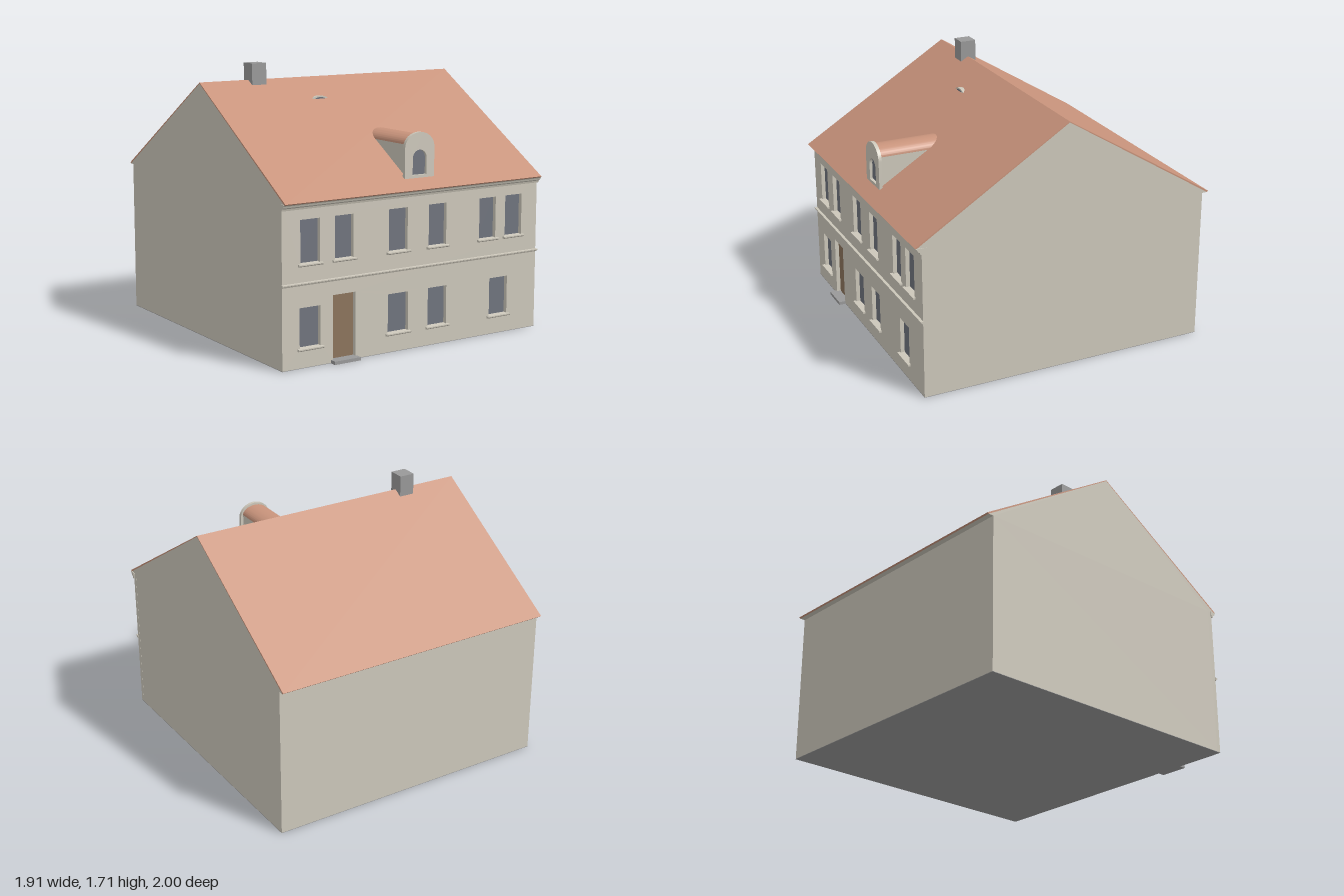
import * as THREE from 'three';
import { toCreasedNormals } from 'three/addons/utils/BufferGeometryUtils.js';

const material = (name, color) => {
  const m = new THREE.MeshStandardMaterial({ color });
  m.name = name;
  return m;
};

export function createModel() {
  const cream = material('cream plaster', 0xcdc8bb);
  const tile = material('roof tile', 0xc8937b);
  const glass = material('window glass', 0x70747e);
  const wood = material('door wood', 0x8c745c);
  const stone = material('grey stone', 0x999999);

  const house = new THREE.Group();
  house.name = 'house';
  const add = (name, geometry, mat) => {
    const mesh = new THREE.Mesh(geometry, mat);
    mesh.name = name;
    house.add(mesh);
    return mesh;
  };
  const box = (name, mat, x0, x1, y0, y1, z0, z1) =>
    add(name, new THREE.BoxGeometry(x1 - x0, y1 - y0, z1 - z0)
      .translate((x0 + x1) / 2, (y0 + y1) / 2, (z0 + z1) / 2), mat);

  // Solid with a [z, y] profile, running from x0 to x1
  const prism = (profile, x0, x1) => {
    const shape = new THREE.Shape(profile.map(p => new THREE.Vector2(...p)));
    return new THREE.ExtrudeGeometry(shape, { depth: x1 - x0, bevelEnabled: false })
      .rotateY(-Math.PI / 2).translate(x1, 0, 0);
  };
  // The left gable wall stands slightly askew
  const skewGable = geometry => {
    const p = geometry.attributes.position;
    for (let i = 0; i < p.count; i++) {
      if (p.getX(i) > 0) p.setX(i, 0.938 + 0.012 * p.getZ(i));
    }
    geometry.computeVertexNormals();
    return geometry;
  };
  // Upright outline with an elliptical arch on top
  const arch = (Type, cx, halfWidth, y0, spring, top) => {
    const s = new Type();
    s.moveTo(cx - halfWidth, y0);
    s.lineTo(cx + halfWidth, y0);
    if (spring > y0) s.lineTo(cx + halfWidth, spring);
    s.absellipse(cx, spring, halfWidth, top - spring, 0, Math.PI, false, 0);
    s.closePath();
    return s;
  };
  const extrudeZ = (shape, z0, z1) => toCreasedNormals(
    new THREE.ExtrudeGeometry(shape, { depth: z1 - z0, bevelEnabled: false, curveSegments: 18 })
      .translate(0, 0, z0), 0.6);

  const L = -0.955, R = 0.95, FRONT = 0.955, RECESS = 0.925;

  // Body with gables and eaves
  add('body', skewGable(prism([
    [-0.955, 0.003], [RECESS, 0.003], [RECESS, 0.978], [0.99, 0.978],
    [0, 1.594], [-0.99, 0.978], [-0.955, 0.978],
  ], L, R)), cream);
  add('roof', skewGable(prism([
    [-0.998, 0.985], [-0.99, 0.978], [0, 1.593], [0.99, 0.978], [0.998, 0.985], [0, 1.6],
  ], L, R)), tile);
  add('groundSlab', skewGable(prism([
    [-0.955, 0], [FRONT, 0], [FRONT, 0.003], [-0.955, 0.003],
  ], L, R)), stone);

  // Openings: [x0, x1, y0, y1]
  const upper = [[-0.83, -0.697], [-0.593, -0.46], [-0.205, -0.067],
    [0.092, 0.226], [0.485, 0.615], [0.692, 0.826]].map(w => [...w, 0.618, 0.88]);
  const lower = [[-0.836, -0.692], [-0.21, -0.06], [0.09, 0.232],
    [0.574, 0.718]].map(w => [...w, 0.118, 0.362]);
  const door = [-0.605, -0.446, 0.015, 0.41];

  // Front wall with deep openings
  const wall = new THREE.Shape([[L, 0.003], [R, 0.003], [R, 0.978], [L, 0.978]]
    .map(p => new THREE.Vector2(...p)));
  for (const [x0, x1, y0, y1] of [...upper, ...lower, door]) {
    wall.holes.push(new THREE.Path([[x0, y0], [x0, y1], [x1, y1], [x1, y0]]
      .map(p => new THREE.Vector2(...p))));
  }
  add('frontWall', new THREE.ExtrudeGeometry(wall, { depth: FRONT - RECESS, bevelEnabled: false })
    .translate(0, 0, RECESS), cream);

  // Window panes and sills
  for (const [x0, x1, y0, y1] of [...upper, ...lower]) {
    box('windowPane', glass, x0, x1, y0, y1, RECESS - 0.002, RECESS + 0.004);
    add('windowSill', prism([
      [FRONT - 0.03, y0 - 0.012], [0.968, y0 - 0.012], [0.973, y0 - 0.006],
      [0.973, y0 + 0.001], [FRONT - 0.03, y0 + 0.004],
    ], x0 - 0.016, x1 + 0.016), cream);
  }
  box('door', wood, door[0], door[1], door[2], door[3], RECESS - 0.002, RECESS + 0.004);
  box('doorStep', stone, -0.62, -0.436, 0, 0.02, 0.93, 1);

  // Mouldings across the front
  add('cornice', prism([
    [0.95, 0.942], [0.964, 0.942], [0.968, 0.954], [0.98, 0.962],
    [0.984, 0.972], [0.993, 0.982], [0.95, 0.982],
  ], L - 0.005, R + 0.005), cream);
  add('beltCourse', prism([
    [0.95, 0.494], [0.96, 0.494], [0.964, 0.502], [0.972, 0.505], [0.972, 0.511], [0.95, 0.513],
  ], L - 0.005, R + 0.005), cream);

  // Dormer with barrel roof and arched front
  const DX = 0.054;
  box('dormerWalls', cream, DX - 0.091, DX + 0.091, 1.03, 1.25, 0.5, 0.885);
  add('dormerRoof', extrudeZ(arch(THREE.Shape, DX, 0.092, 1.248, 1.248, 1.305), 0.45, 0.896), tile);
  const face = arch(THREE.Shape, DX, 0.11, 1.042, 1.225, 1.32);
  face.holes.push(arch(THREE.Path, DX, 0.052, 1.06, 1.16, 1.213));
  add('dormerFront', extrudeZ(face, 0.885, 0.907), cream);
  add('dormerPane', extrudeZ(arch(THREE.Shape, DX, 0.052, 1.06, 1.16, 1.213), 0.884, 0.889), glass);

  // Small eyebrow vent
  add('roofVent', extrudeZ(arch(THREE.Shape, -0.203, 0.06, 1.47, 1.47, 1.494), 0.14, 0.2), cream);
  add('roofVentPane', extrudeZ(arch(THREE.Shape, -0.203, 0.037, 1.472, 1.472, 1.486), 0.199, 0.202), glass);

  box('chimney', stone, -0.61, -0.508, 1.56, 1.705, -0.054, 0.05);

  return house;
}
